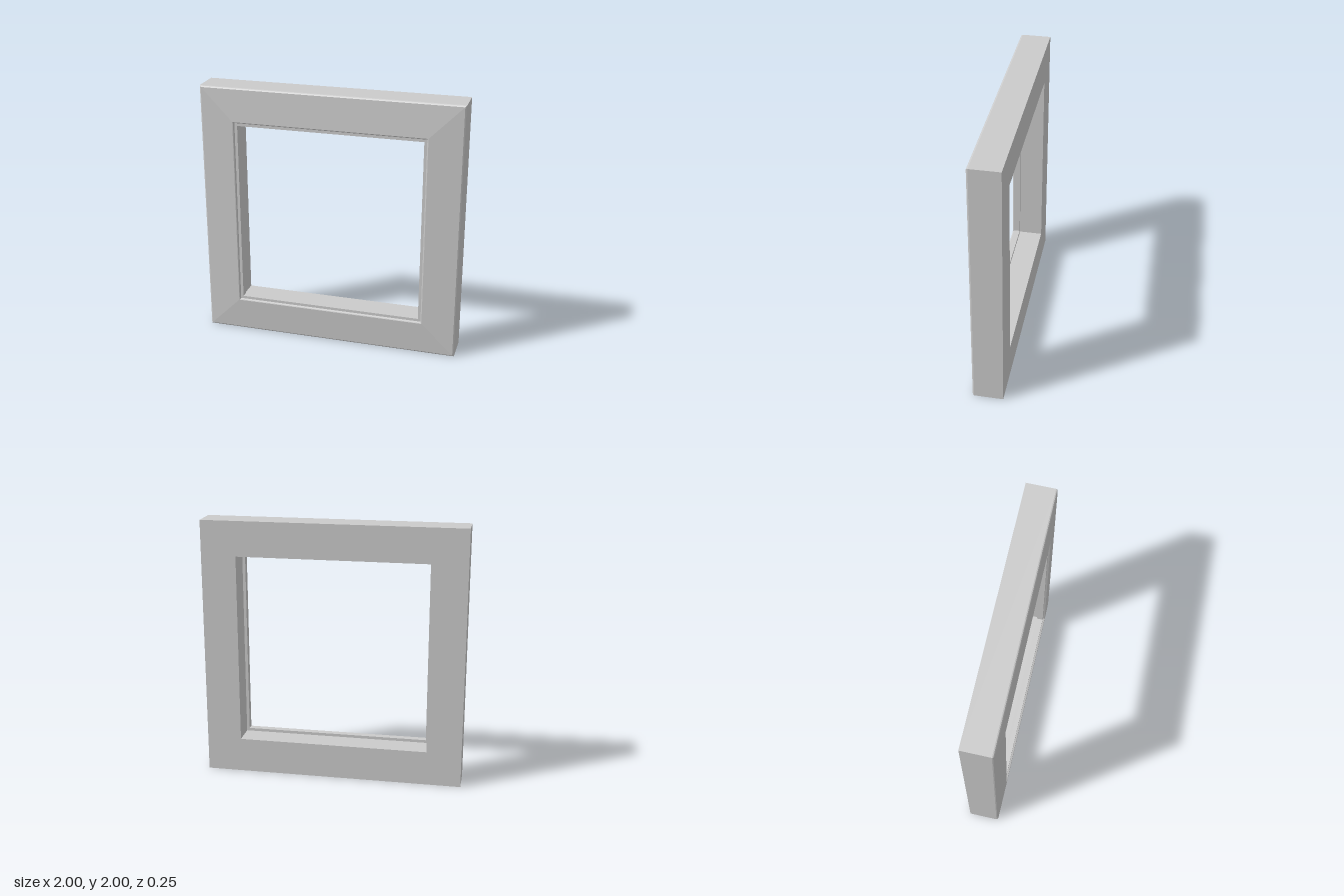
import * as THREE from 'three';

// Closed moulding section as [half-width, depth]: outer side, front face, lip, rabbet, back
const SECTION = [
  [1, -0.125], [1, 0.095], [0.997, 0.103], [0.988, 0.109], // outer side and eased edge
  [0.742, 0.125], [0.737, 0.123], [0.731, 0.11],           // sloped face and inner step
  [0.71, 0.11], [0.71, 0.06],                              // lip
  [0.732, 0.06], [0.732, -0.125],                          // rabbet behind the lip
  [1, -0.125],                                             // back face
];

export function createModel() {
  const group = new THREE.Group();
  group.name = 'squareFrame';

  // A four-sided lathe sweeps the section round the square with mitred corners
  const points = SECTION.map(([r, z]) => new THREE.Vector2(r * Math.SQRT2, z));
  const geometry = new THREE.LatheGeometry(points, 4, Math.PI / 4)
    .rotateX(Math.PI / 2)
    .toNonIndexed();
  geometry.computeVertexNormals();

  const frame = new THREE.Mesh(
    geometry,
    new THREE.MeshStandardMaterial({ color: 0xcccccc, flatShading: true })
  );
  frame.name = 'frameMoulding';
  frame.position.y = 1;
  group.add(frame);
  return group;
}
